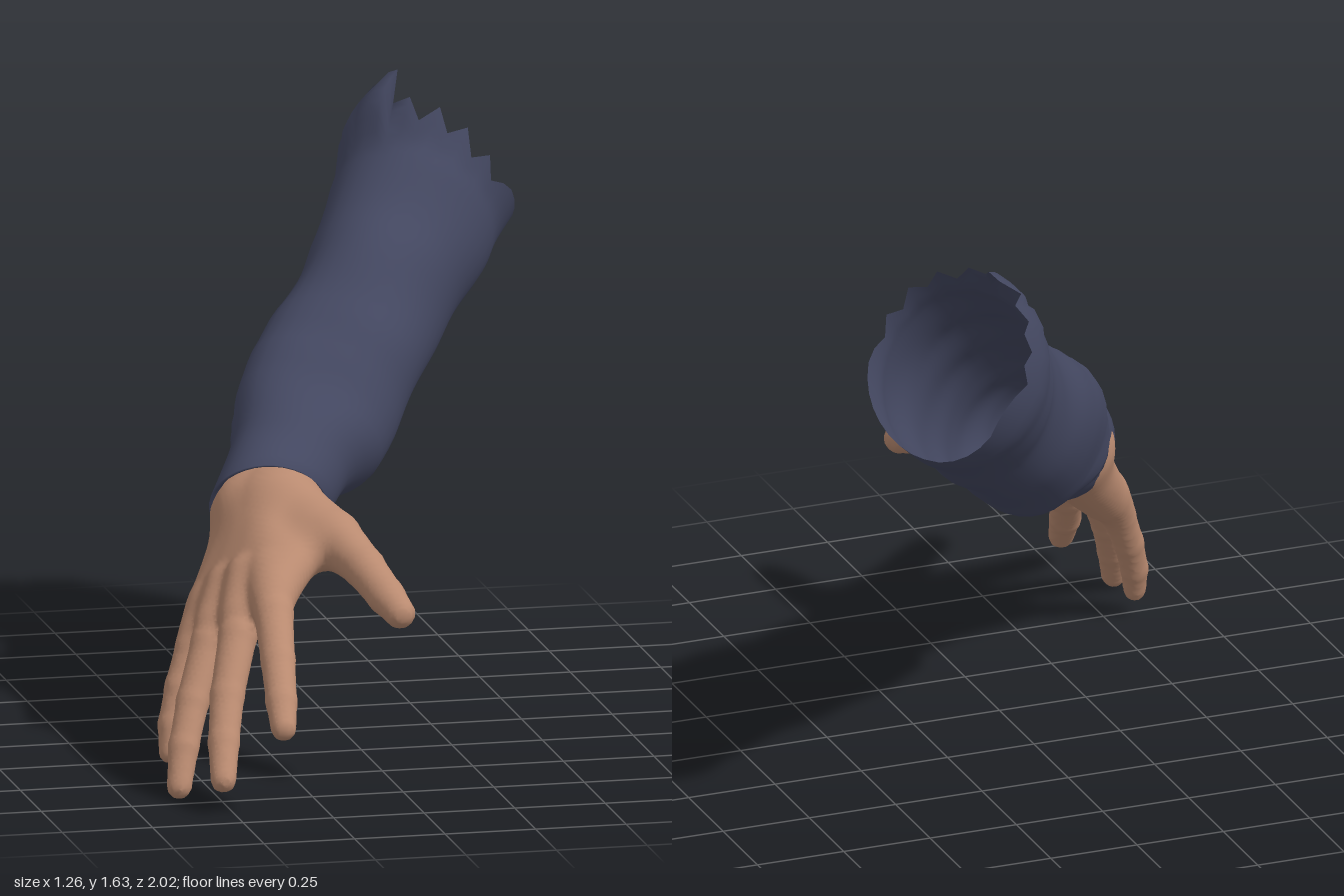
import * as THREE from 'three';

const V3 = (x, y, z) => new THREE.Vector3(x, y, z);
const { lerp, clamp, smoothstep } = THREE.MathUtils;

// Finger joints from knuckle to tip: x, y, z, radius
const fingers = [
  [[-0.315, 0.57, 0.5, 0.056], [-0.335, 0.49, 0.65, 0.053], [-0.355, 0.39, 0.79, 0.046],
    [-0.372, 0.305, 0.905, 0.042], [-0.382, 0.25, 0.972, 0.035]],
  [[-0.365, 0.55, 0.46, 0.056], [-0.42, 0.42, 0.59, 0.052], [-0.475, 0.28, 0.7, 0.046],
    [-0.505, 0.175, 0.79, 0.042], [-0.524, 0.09, 0.868, 0.035]],
  [[-0.405, 0.51, 0.39, 0.055], [-0.475, 0.38, 0.49, 0.05], [-0.54, 0.24, 0.57, 0.044],
    [-0.58, 0.13, 0.635, 0.041], [-0.604, 0.034, 0.687, 0.034]],
  [[-0.435, 0.45, 0.325, 0.054], [-0.495, 0.345, 0.38, 0.047], [-0.54, 0.245, 0.418, 0.041],
    [-0.57, 0.15, 0.45, 0.037], [-0.58, 0.078, 0.474, 0.031]]
];
const thumb = [[-0.21, 0.69, 0.25, 0.088], [-0.12, 0.638, 0.44, 0.074], [-0.068, 0.585, 0.58, 0.056],
  [-0.033, 0.53, 0.69, 0.05], [-0.011, 0.498, 0.757, 0.042]];

// Wrist, the four palm bones fanning to the knuckles, the heel, and the thumb's web
const wrist = [
  [[-0.18, 0.74, 0.1, 0.115], [-0.245, 0.67, 0.21, 0.115]],
  [[-0.19, 0.74, 0.09, 0.115], [-0.285, 0.665, 0.185, 0.112]]
];
const palm = fingers.map(([a, b], i) => {
  const k = 1.5 - i;
  return [
    [-0.262 + 0.016 * k, 0.652 + 0.016 * k, 0.222 + 0.032 * k, 0.088],
    [0, 1, 2, 3].map(n => lerp(a[n], b[n], 0.65))
  ];
});
const heel = [[-0.255, 0.615, 0.175, 0.078], [-0.425, 0.435, 0.335, 0.056]];
const web = [[-0.18, 0.625, 0.41, 0.066], [-0.305, 0.535, 0.57, 0.05]];

// Distance from a point to a tapered capsule between two joints
function capsule(x, y, z, a, b) {
  const ux = b[0] - a[0], uy = b[1] - a[1], uz = b[2] - a[2];
  const px = x - a[0], py = y - a[1], pz = z - a[2];
  const t = clamp((px * ux + py * uy + pz * uz) / (ux * ux + uy * uy + uz * uz), 0, 1);
  return Math.hypot(px - t * ux, py - t * uy, pz - t * uz) - lerp(a[3], b[3], t);
}

function blend(a, b, k) {
  const h = Math.max(k - Math.abs(a - b), 0) / k;
  return Math.min(a, b) - h * h * k / 4;
}

function chain(x, y, z, joints) {
  let d = capsule(x, y, z, joints[0], joints[1]);
  for (let i = 1; i < joints.length - 1; i++) {
    d = blend(d, capsule(x, y, z, joints[i], joints[i + 1]), 0.01);
  }
  return d;
}

function handDistance(x, y, z) {
  let d = Infinity;
  for (const bone of wrist) d = Math.min(d, chain(x, y, z, bone));
  for (const bone of [...palm, heel, web]) d = blend(d, chain(x, y, z, bone), 0.05);
  d = blend(d, chain(x, y, z, thumb), 0.06);
  for (const joints of fingers) d = blend(d, chain(x, y, z, joints), 0.02);
  return d;
}

// Skin drawn over a distance rule: one vertex per crossed cell, one quad per crossed edge
function skinGeometry(distance, min, max, h) {
  const n = min.map((v, i) => Math.ceil((max[i] - v) / h) + 1);
  const step = [1, n[0], n[0] * n[1]];
  const value = new Float32Array(n[0] * n[1] * n[2]);
  const cellVertex = new Int32Array(value.length);
  const positions = [], index = [];
  const eachCell = (from, trim, fn) => {
    for (let z = from; z < n[2] - trim; z++)
      for (let y = from; y < n[1] - trim; y++)
        for (let x = from; x < n[0] - trim; x++) fn([x, y, z], x + y * step[1] + z * step[2]);
  };
  eachCell(0, 0, (p, id) => {
    value[id] = distance(min[0] + p[0] * h, min[1] + p[1] * h, min[2] + p[2] * h);
  });
  eachCell(0, 1, (p, id) => {
    const sum = [0, 0, 0];
    let count = 0;
    for (let axis = 0; axis < 3; axis++) {
      const b = (axis + 1) % 3, c = (axis + 2) % 3;
      for (let corner = 0; corner < 4; corner++) {
        const ob = corner & 1, oc = corner >> 1;
        const k = id + ob * step[b] + oc * step[c];
        const v0 = value[k], v1 = value[k + step[axis]];
        if (v0 < 0 === v1 < 0) continue;
        sum[axis] += v0 / (v0 - v1);
        sum[b] += ob;
        sum[c] += oc;
        count++;
      }
    }
    if (!count) return;
    cellVertex[id] = positions.length / 3;
    positions.push(...sum.map((s, i) => min[i] + (p[i] + s / count) * h));
  });
  eachCell(1, 1, (p, id) => {
    for (let axis = 0; axis < 3; axis++) {
      const inside = value[id] < 0;
      if (inside === value[id + step[axis]] < 0) continue;
      const b = step[(axis + 1) % 3], c = step[(axis + 2) % 3];
      const q = [id - b - c, id - c, id, id - b].map(k => cellVertex[k]);
      if (!inside) q.reverse();
      index.push(q[0], q[1], q[2], q[0], q[2], q[3]);
    }
  });
  return surface(positions, index);
}

function surface(positions, index) {
  const geometry = new THREE.BufferGeometry();
  geometry.setAttribute('position', new THREE.Float32BufferAttribute(positions, 3));
  geometry.setIndex(index);
  geometry.computeVertexNormals();
  return geometry;
}

// Smooth lookup in a table whose first column is the key
function sample(table, s) {
  let i = 0;
  while (i < table.length - 2 && s > table[i + 1][0]) i++;
  const k = smoothstep(s, table[i][0], table[i + 1][0]);
  return table[i].map((v, n) => lerp(v, table[i + 1][n], k));
}

function sleeveGeometry() {
  const start = V3(-0.229, 0.69, 0.17);
  const axis = V3(0.5, 0.515, -0.697).normalize();
  const up = V3(0, 1, 0).addScaledVector(axis, -axis.y).normalize();
  const side = axis.clone().cross(up);
  // Distance along arm, vertical offset, vertical radius, sideways radius
  const profile = [
    [-0.1, 0, 0.166, 0.145], [0, 0, 0.166, 0.146], [0.14, -0.01, 0.158, 0.155],
    [0.33, -0.06, 0.2, 0.185], [0.45, -0.053, 0.206, 0.19], [0.6, -0.043, 0.214, 0.195],
    [0.9, -0.028, 0.234, 0.2], [1.15, -0.019, 0.25, 0.228], [1.3, 0.003, 0.272, 0.258],
    [1.55, 0, 0.245, 0.212]
  ];
  // Length of the cloth every ten degrees, torn on the upper and outer sides
  const edge = [
    1.29, 1.23, 1.28, 1.22, 1.26, 1.20, 1.24, 1.20, 1.23, 1.25, 1.26, 1.27,
    1.28, 1.29, 1.30, 1.31, 1.32, 1.34, 1.35, 1.37, 1.39, 1.41, 1.43, 1.46,
    1.47, 1.46, 1.42, 1.46, 1.41, 1.45, 1.39, 1.44, 1.34, 1.42, 1.41, 1.27
  ];
  const rows = 40, cols = edge.length, hem = 3;
  const positions = [], index = [];
  for (let i = 0; i <= rows; i++) {
    for (let j = 0; j < cols; j++) {
      const q = j / cols * Math.PI * 2;
      // Slanted cuff, with the first rings turned inwards as a hem
      const cuff = -0.03 - 0.02 * Math.cos(q) + 0.06 * Math.sin(q);
      const t = (i - hem) / (rows - hem);
      const inner = i < hem ? [0.86, 0.9, 0.95][i] : 1;
      const s = i < hem ? cuff + [0.1, 0.03, 0.003][i]
        : lerp(cuff, 1.1, Math.min(1, t / 0.8)) + (edge[j] - 1.1) * Math.max(0, (t - 0.8) / 0.2);
      const [, offset, ru, rv] = sample(profile, s);
      // Cloth folds, a bunched crease near the cuff, and fullness over the back of the forearm
      const folds = clamp(s * 4, 0, 1) * (0.018 * Math.sin(10 * s + 2 * q) + 0.015 * Math.sin(19 * s - 3 * q));
      const crease = 0.25 * Math.exp(-(((s - 0.21) / 0.05) ** 2)) * Math.max(0, -Math.sin(q + 0.3)) ** 6;
      const fullness = 0.3 * Math.exp(-(((s - 0.4) / 0.26) ** 2)) * Math.max(0, Math.cos(q + 0.8)) ** 4;
      const k = inner * (1 + folds + crease + (i < hem ? 0 : fullness));
      positions.push(...start.clone().addScaledVector(axis, s)
        .addScaledVector(up, offset + ru * k * Math.cos(q))
        .addScaledVector(side, rv * k * Math.sin(q)).toArray());
      if (i === rows) continue;
      const a = i * cols + j, b = i * cols + (j + 1) % cols;
      index.push(a, b, a + cols, b, b + cols, a + cols);
    }
  }
  return surface(positions, index);
}

export function createModel() {
  const skin = new THREE.MeshStandardMaterial({ color: 0xb98a70 });
  skin.name = 'skin';
  const cloth = new THREE.MeshStandardMaterial({ color: 0x434760, side: THREE.DoubleSide });
  cloth.name = 'navy cloth';

  const hand = new THREE.Mesh(skinGeometry(handDistance, [-0.68, -0.03, -0.06], [0.08, 0.9, 1.03], 0.012), skin);
  hand.name = 'hand';
  const sleeve = new THREE.Mesh(sleeveGeometry(), cloth);
  sleeve.name = 'sleeve';

  const model = new THREE.Group();
  model.name = 'sleevedArm';
  model.add(hand, sleeve);
  return model;
}
